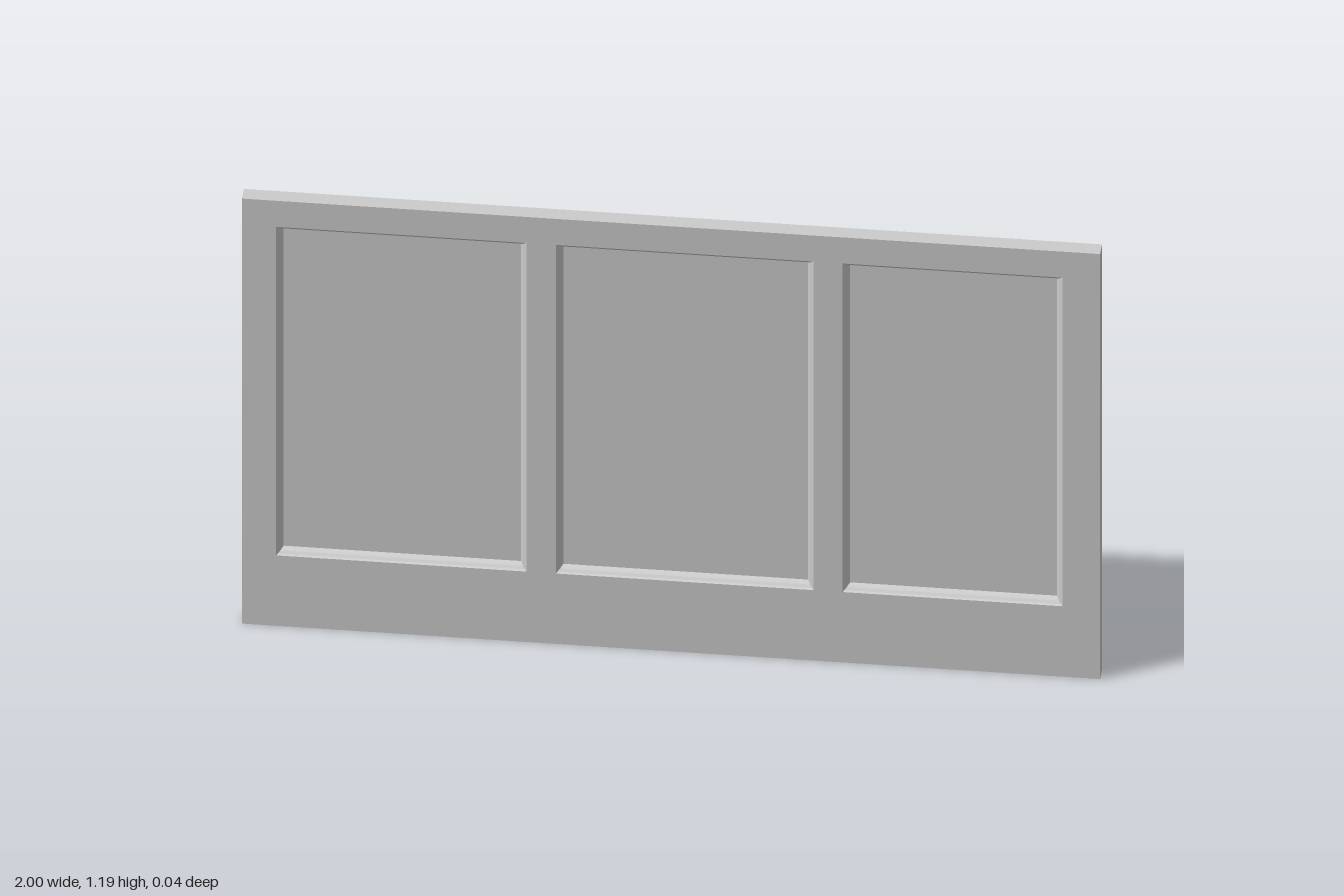
import * as THREE from 'three';

const HEIGHT = 1.19, HALF = 0.02;
const BOTTOM = 0.197, TOP = 1.117;
const OPENINGS = [[-0.92, -0.337], [-0.268, 0.332], [0.4, 0.912]];
const FRONT_PANEL = 0, BACK_PANEL = -0.012;

// Moulding profiles: [inset from the opening edge, z], from frame face to panel
const FRONT_PROFILE = [[0, HALF], [0.003, 0.016], [0.009, 0.011], [0.012, 0.005], [0.015, FRONT_PANEL]];
const BACK_PROFILE = [[0, -HALF], [0.004, -0.017], [0.008, BACK_PANEL]];

const material = new THREE.MeshStandardMaterial({ color: 0xcccccc, flatShading: true });

function addMesh(parent, name, geometry) {
  const mesh = new THREE.Mesh(geometry, material);
  mesh.name = name;
  parent.add(mesh);
  return mesh;
}

const corners = (x0, x1, inset) => [
  [x0 + inset, BOTTOM + inset], [x1 - inset, BOTTOM + inset],
  [x1 - inset, TOP - inset], [x0 + inset, TOP - inset],
];

// Mitred rectangular ring swept along a profile
function mouldingGeometry(x0, x1, profile, back) {
  const positions = [];
  for (let p = 0; p < profile.length - 1; p++) {
    const [outer, inner] = [profile[p], profile[p + 1]].map(([inset, z]) =>
      corners(x0, x1, inset).map(([x, y]) => [x, y, z]));
    for (let i = 0; i < 4; i++) {
      const j = (i + 1) % 4;
      const quad = [outer[i], outer[j], inner[j], inner[i]];
      if (back) quad.reverse();
      for (const k of [0, 1, 2, 0, 2, 3]) positions.push(...quad[k]);
    }
  }
  const geometry = new THREE.BufferGeometry();
  geometry.setAttribute('position', new THREE.Float32BufferAttribute(positions, 3));
  geometry.computeVertexNormals();
  return geometry;
}

export function createModel() {
  const model = new THREE.Group();
  model.name = 'panelledBoard';

  // Frame of rails and stiles with three openings
  const shape = new THREE.Shape([[-1, 0], [1, 0], [1, HEIGHT], [-1, HEIGHT]]
    .map(([x, y]) => new THREE.Vector2(x, y)));
  for (const [x0, x1] of OPENINGS) {
    shape.holes.push(new THREE.Path(corners(x0, x1, 0).reverse()
      .map(([x, y]) => new THREE.Vector2(x, y))));
  }
  const frame = new THREE.ExtrudeGeometry(shape, { depth: HALF * 2, bevelEnabled: false });
  frame.translate(0, 0, -HALF);
  addMesh(model, 'frame', frame);

  // Recessed panels, edged with moulding on both faces
  OPENINGS.forEach(([x0, x1], i) => {
    const bay = new THREE.Group();
    bay.name = 'bay' + (i + 1);
    model.add(bay);
    const panel = addMesh(bay, 'panel',
      new THREE.BoxGeometry(x1 - x0, TOP - BOTTOM, FRONT_PANEL - BACK_PANEL));
    panel.position.set((x0 + x1) / 2, (TOP + BOTTOM) / 2, (FRONT_PANEL + BACK_PANEL) / 2);
    addMesh(bay, 'frontMoulding', mouldingGeometry(x0, x1, FRONT_PROFILE, false));
    addMesh(bay, 'backMoulding', mouldingGeometry(x0, x1, BACK_PROFILE, true));
  });

  return model;
}
